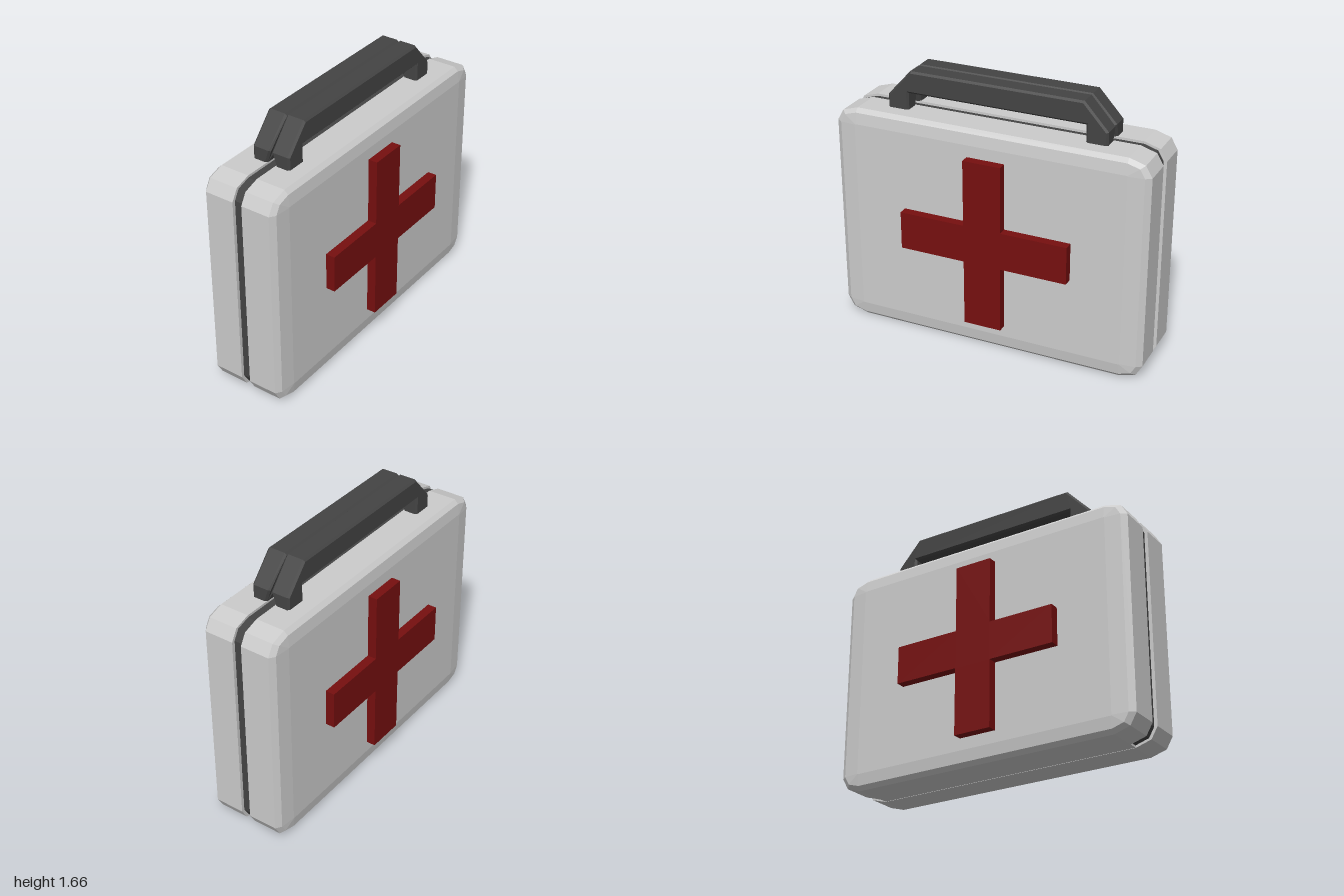
import * as THREE from 'three';

const grey = new THREE.MeshStandardMaterial({ color: 0xcccccc, flatShading: true });
const dark = new THREE.MeshStandardMaterial({ color: 0x444444, flatShading: true });
const red = new THREE.MeshStandardMaterial({ color: 0x760f0f, flatShading: true });

function part(name, geometry, material) {
  const mesh = new THREE.Mesh(geometry, material);
  mesh.name = name;
  return mesh;
}

// Case outline at x; t pulls the rim in towards the flat face (1 = full size).
function ring(x, t) {
  const corner = [[0, -1], [0.71, -0.7], [1, 0]];
  const quarters = [
    ...corner.map(([u, v]) => [0.86 + 0.14 * t * u, 0.1 + 0.1 * t * v]),
    ...corner.map(([u, v]) => [0.86 + 0.14 * t * u, 1.32 - 0.1 * t * v]).reverse(),
  ];
  const mirrored = quarters.map(([u, y]) => [-u, y]).reverse();
  return [...quarters, ...mirrored].map(([u, y]) => [x, y, -u]);
}

// Closed solid through a list of rings, running towards +x.
function loft(rings) {
  const out = [];
  const n = rings[0].length;
  for (let k = 0; k + 1 < rings.length; k++) {
    const a = rings[k], b = rings[k + 1];
    for (let i = 0; i < n; i++) {
      const j = (i + 1) % n;
      out.push(a[i], a[j], b[j], a[i], b[j], b[i]);
    }
  }
  const first = rings[0], last = rings[rings.length - 1];
  for (let i = 1; i + 1 < n; i++) {
    out.push(last[0], last[i], last[i + 1], first[0], first[i + 1], first[i]);
  }
  const geometry = new THREE.BufferGeometry();
  geometry.setAttribute('position', new THREE.Float32BufferAttribute(out.flat(), 3));
  geometry.computeVertexNormals();
  return geometry;
}

// Extrudes a profile that is symmetric in z, given by its +z half from top to bottom.
function sideProfile(half, x0, x1, bevel) {
  const points = [...half, ...half.map(([z, y]) => [-z, y]).reverse()];
  const shape = new THREE.Shape(points.map(([z, y]) => new THREE.Vector2(z, y)));
  const geometry = new THREE.ExtrudeGeometry(shape, {
    depth: x1 - x0 - 2 * bevel,
    bevelEnabled: bevel > 0,
    bevelThickness: bevel,
    bevelSize: bevel,
    bevelOffset: -bevel,
    bevelSegments: 1,
  });
  geometry.translate(0, 0, x0 + bevel);
  geometry.rotateY(Math.PI / 2);
  return geometry;
}

function handleHalf() {
  const geometry = sideProfile(
    [[0.55, 1.665], [0.7, 1.5], [0.7, 1.4], [0.565, 1.4], [0.565, 1.525]], 0, 0.125, 0.012);
  // The inner side of each leg flares away from the seam.
  const p = geometry.attributes.position;
  for (let i = 0; i < p.count; i++) {
    if (p.getX(i) < 0.03) {
      p.setX(i, p.getX(i) + 0.32 * Math.max(0, 1.51 - p.getY(i)));
    }
  }
  geometry.computeVertexNormals();
  return geometry;
}

export function createModel() {
  const model = new THREE.Group();
  model.name = 'firstAidCase';

  const shell = loft([ring(0.03, 1), ring(0.215, 1), ring(0.24, 0.75), ring(0.25, 0.04)]);
  const handle = handleHalf();
  const cross = sideProfile([
    [0.12, 1.25], [0.12, 0.83], [0.54, 0.83], [0.54, 0.59], [0.12, 0.59], [0.12, 0.17],
  ], 0.24, 0.308, 0);

  // Two matching halves, each with its shell, cross and handle.
  for (const side of ['left', 'right']) {
    const half = new THREE.Group();
    half.name = side + 'Half';
    half.add(
      part(side + 'Shell', shell, grey),
      part(side + 'Cross', cross, red),
      part(side + 'Handle', handle, dark),
    );
    if (side === 'right') half.rotation.y = Math.PI;
    model.add(half);
  }

  // Dark seal seen in the gap between the shells.
  model.add(part('seal', loft([ring(-0.04, 0.85), ring(0.04, 0.85)]), dark));

  // Hinge strip joining the shells underneath.
  const hinge = part('hinge', new THREE.BoxGeometry(0.08, 0.02, 1.72), grey);
  hinge.position.y = 0.012;
  model.add(hinge);

  return model;
}
